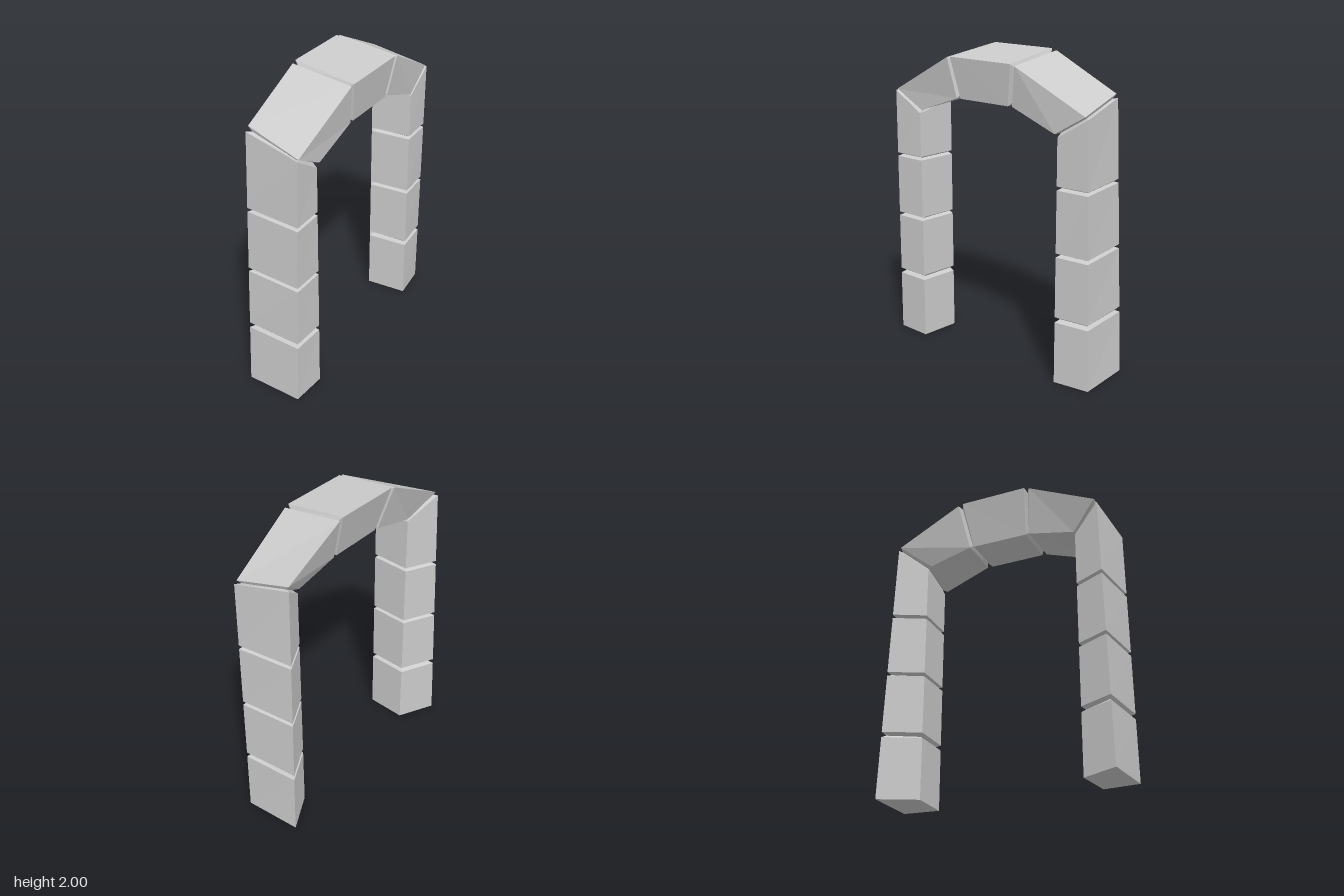
import * as THREE from 'three';

// Each ring is a four-cornered section: outer back, outer front, inner front, inner back.
const V = (x, y, z) => new THREE.Vector3(x, y, z);
const ring = (...c) => c.map((p) => V(...p));
const mix = (a, b, t) => a.map((p, i) => p.clone().lerp(b[i], t));

// Section pulled in towards its centre, the bottom of a groove
function shrink(r, inset) {
  const c = V(0, 0, 0);
  r.forEach((p) => c.addScaledVector(p, 0.25));
  return r.map((p) => p.clone().add(c.clone().sub(p).setLength(inset)));
}

// Skin a row of rings, with optional end caps
function loft(rings, capStart, capEnd) {
  const pos = [];
  const quad = (a, b, c, d) => [a, b, c, a, c, d].forEach((p) => pos.push(p.x, p.y, p.z));
  for (let k = 0; k < rings.length - 1; k++) {
    const r = rings[k], s = rings[k + 1];
    for (let i = 0; i < 4; i++) {
      const j = (i + 1) % 4;
      quad(r[i], r[j], s[j], s[i]);
    }
  }
  const first = rings[0], last = rings[rings.length - 1];
  if (capStart) quad(first[3], first[2], first[1], first[0]);
  if (capEnd) quad(last[0], last[1], last[2], last[3]);
  const g = new THREE.BufferGeometry();
  g.setAttribute('position', new THREE.Float32BufferAttribute(pos, 3));
  g.computeVertexNormals();
  return g;
}

// Four stacked blocks of a leg, listed from the foot up as [bottom, top] rings
function legBlocks(foot, top) {
  const levels = [[0, 0.4], [0.435, 0.82], [0.845, 1.235], [1.26, null]];
  const at = (y) => foot.map((p, i) => {
    const q = p.clone().lerp(top[i], y / top[i].y);
    q.y = y;
    return q;
  });
  return levels.map(([a, b]) => [at(a), b === null ? top : at(b)]);
}

export function createModel() {
  const rightFoot = ring([-0.805, 0, 0.01], [-0.73, 0, 0.375], [-0.5, 0, 0.33], [-0.545, 0, 0.065]);
  const rightTop = ring([-0.75, 1.75, 0.02], [-0.695, 1.68, 0.39], [-0.5, 1.55, 0.33], [-0.545, 1.61, 0.065]);
  const leftFoot = ring([0.69, 0, -0.39], [0.8, 0, -0.03], [0.575, 0, 0.055], [0.49, 0, -0.205]);
  const leftTop = ring([0.64, 1.75, -0.345], [0.78, 1.68, 0], [0.575, 1.55, 0.055], [0.49, 1.61, -0.205]);

  // Three blocks of the arch
  const arch = [
    [ring([-0.73, 1.78, 0.02], [-0.685, 1.69, 0.385], [-0.48, 1.575, 0.33], [-0.54, 1.63, 0.06]),
      ring([-0.295, 1.99, -0.09], [-0.205, 1.945, 0.305], [-0.17, 1.69, 0.26], [-0.235, 1.7, -0.015])],
    [ring([-0.265, 2, -0.1], [-0.18, 1.95, 0.3], [-0.14, 1.69, 0.25], [-0.21, 1.7, -0.02]),
      ring([0.175, 2, -0.215], [0.28, 1.95, 0.18], [0.225, 1.69, 0.155], [0.155, 1.7, -0.12])],
    [ring([0.205, 1.99, -0.225], [0.31, 1.94, 0.17], [0.255, 1.69, 0.145], [0.18, 1.7, -0.13]),
      ring([0.635, 1.775, -0.335], [0.76, 1.695, 0.005], [0.56, 1.57, 0.065], [0.47, 1.63, -0.195])],
  ];

  // All blocks in order from the right foot over the arch to the left foot
  const down = legBlocks(leftFoot, leftTop).reverse().map(([a, b]) => [b, a]);
  const blocks = [...legBlocks(rightFoot, rightTop), ...arch, ...down];

  const material = new THREE.MeshStandardMaterial({ color: 0xcccccc, flatShading: true });
  const model = new THREE.Group();
  model.name = 'stoneArch';
  const groups = ['rightLeg', 'archTop', 'leftLeg'].map((name) => {
    const g = new THREE.Group();
    g.name = name;
    model.add(g);
    return g;
  });

  const groove = (a, b) => shrink(mix(a[1], b[0], 0.5), 0.035);
  blocks.forEach((block, k) => {
    const rings = [...block];
    if (k > 0) rings.unshift(groove(blocks[k - 1], block));
    if (k < blocks.length - 1) rings.push(groove(block, blocks[k + 1]));
    const mesh = new THREE.Mesh(loft(rings, k === 0, k === blocks.length - 1), material);
    const part = k < 4 ? 0 : k < 7 ? 1 : 2;
    mesh.name = ['rightLegBlock', 'archBlock', 'leftLegBlock'][part] + (k - [0, 4, 7][part] + 1);
    groups[part].add(mesh);
  });
  return model;
}
